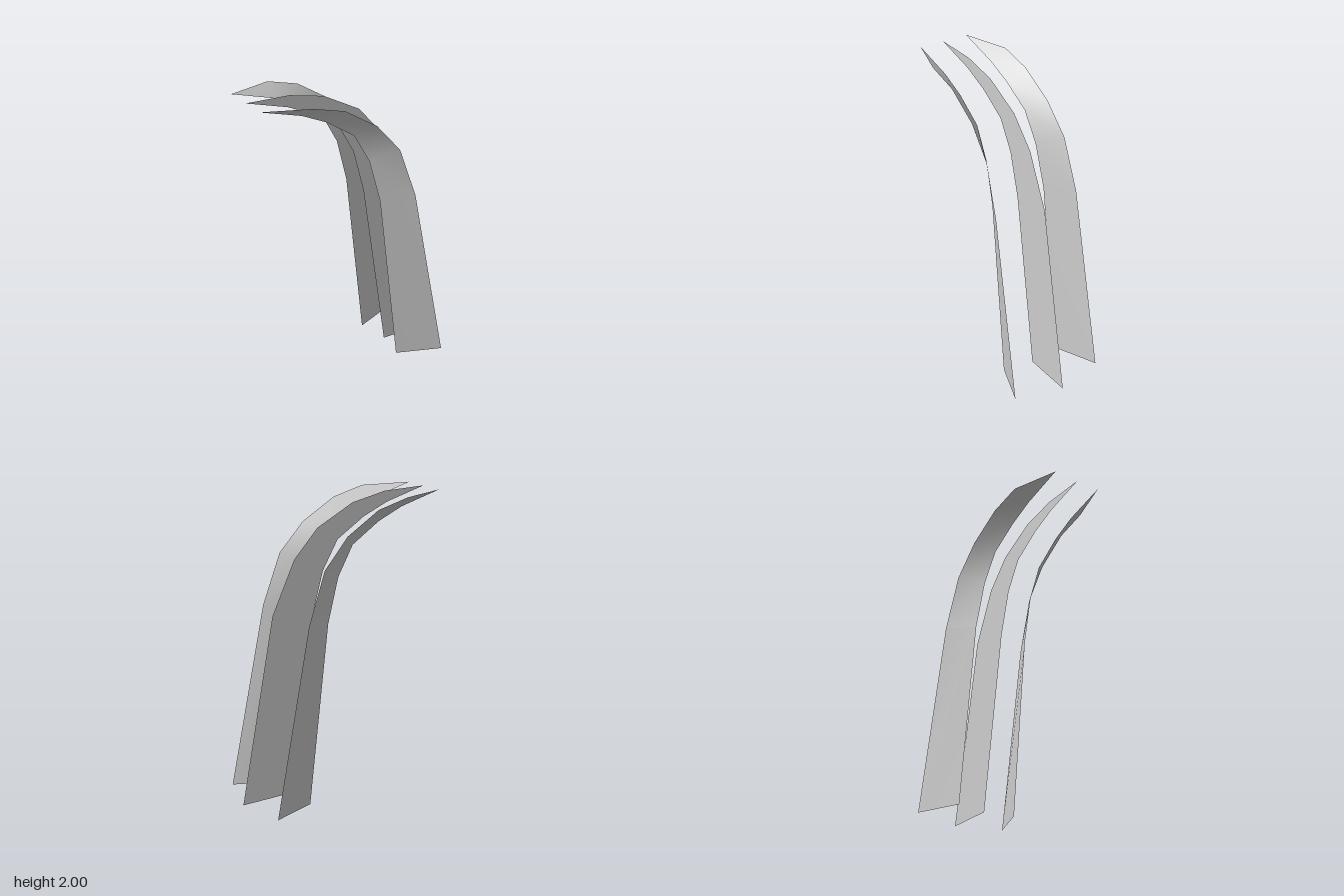
import * as THREE from 'three';

// Blade edges as [x, y, z], from the foot up; both edges meet at the tip.
const tip = [-0.69, 2, 0.177];
const inner = [
  [0.305, 0.01, 0.215], [0.16, 1.215, 0.202], [0.08, 1.51, 0.192],
  [-0.03, 1.705, 0.184], [-0.225, 1.835, 0.178], [-0.4, 1.915, 0.176],
];
const sideOuter = [
  [0.605, 0.01, 0.334], [0.36, 1.25, 0.313], [0.24, 1.59, 0.3],
  [0.07, 1.785, 0.289], [-0.16, 1.93, 0.282], [-0.38, 1.99, 0.278],
];
const middleOuter = [
  [0.685, 0], [0.45, 1.255], [0.29, 1.605], [0.12, 1.795], [-0.14, 1.935], [-0.385, 1.99],
];

// Thin strip between two edges, closed by a triangle at the tip
function bladeGeometry(innerEdge, outerEdge, end, mapZ) {
  const positions = [], index = [];
  const add = ([x, y, z]) => positions.push(x, y, mapZ(z));
  innerEdge.forEach((p, i) => { add(p); add(outerEdge[i]); });
  add(end);
  const last = innerEdge.length - 1;
  for (let i = 0; i < last; i++) {
    const a = 2 * i, b = a + 1, c = a + 2, d = a + 3;
    index.push(a, b, c, b, d, c);
  }
  index.push(2 * last, 2 * last + 1, 2 * last + 2);
  const geometry = new THREE.BufferGeometry();
  geometry.setAttribute('position', new THREE.Float32BufferAttribute(positions, 3));
  geometry.setIndex(index);
  geometry.computeVertexNormals();
  return geometry;
}

export function createModel() {
  const group = new THREE.Group();
  group.name = 'curvedBlades';
  const grey = new THREE.MeshStandardMaterial({ color: 0xcccccc, side: THREE.DoubleSide });
  grey.name = 'light grey';

  const addBlade = (name, geometry) => {
    const mesh = new THREE.Mesh(geometry, grey);
    mesh.name = name;
    group.add(mesh);
  };

  // Two slanted outer blades, mirrored front to back
  addBlade('frontBlade', bladeGeometry(inner, sideOuter, tip, (z) => z));
  addBlade('backBlade', bladeGeometry(inner, sideOuter, tip, (z) => -z));

  // Flat, slightly wider blade between them
  const middleInner = [[0.345, 0.01], ...inner.slice(1)];
  addBlade('middleBlade', bladeGeometry(middleInner, middleOuter, tip, () => 0.006));
  return group;
}
